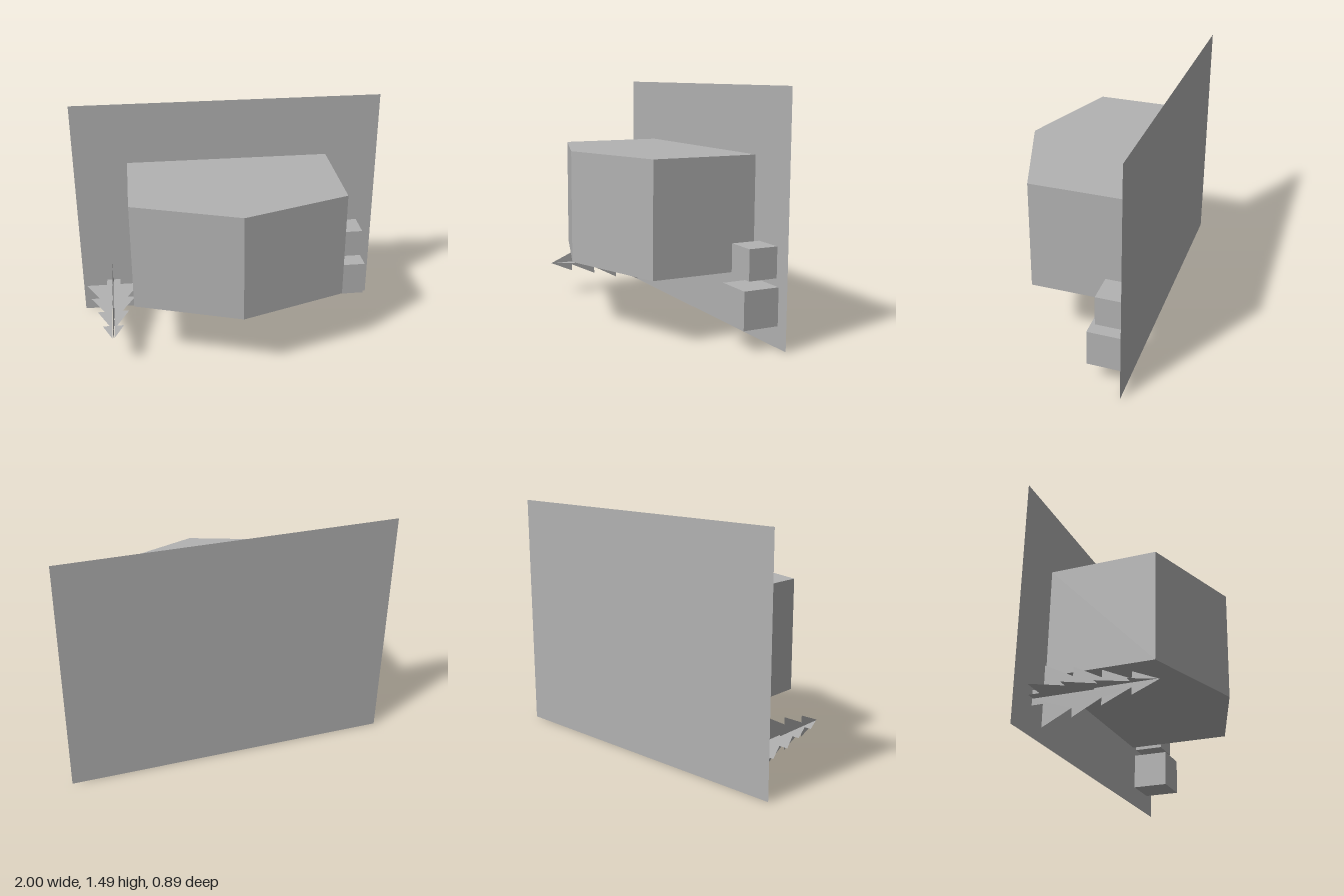
import * as THREE from 'three';

const BACK = -0.444;

export function createModel() {
  const group = new THREE.Group();
  const grey = new THREE.MeshStandardMaterial({ color: 0xb2b2b2, side: THREE.DoubleSide });
  grey.name = 'plain grey';

  const add = (name, geometry, x = 0, y = 0, z = 0) => {
    const mesh = new THREE.Mesh(geometry, grey);
    mesh.name = name;
    mesh.position.set(x, y, z);
    group.add(mesh);
    return mesh;
  };

  // Flat back wall
  add('backWall', new THREE.PlaneGeometry(2, 1.485), 0, 0.7425, BACK);

  // Large block with a pointed front; its plan is drawn with shape y = -z
  const plan = new THREE.Shape([
    [-0.655, BACK], [-0.655, 0.218], [0, 0.444], [0.655, 0.218], [0.655, BACK],
  ].map(([x, z]) => new THREE.Vector2(x, -z)));
  const block = new THREE.ExtrudeGeometry(plan, { depth: 0.682, bevelEnabled: false });
  block.rotateX(-Math.PI / 2);
  add('pointedBlock', block, 0, 0.404);

  // Two cubes standing out from the wall
  const cube = (name, size, x, y) =>
    add(name, new THREE.BoxGeometry(size, size, size), x, y, BACK + size / 2);
  cube('upperCube', 0.184, 0.803, 0.496);
  cube('lowerCube', 0.227, 0.803, 0.243);

  // Half outline of the tree: [half width, distance along the axis], trunk to tip
  const outline = [
    [0.045, BACK], [0.045, -0.376], [0.181, -0.376], [0.092, -0.202], [0.147, -0.202],
    [0.058, -0.031], [0.102, -0.031], [0.024, 0.14], [0.067, 0.14],
  ];
  const TIP = 0.297, SLOT = 0.0055, SLOT_END = -0.074;
  const mirrored = outline.map(([w, a]) => [-w, a]).reverse();
  const toShape = (pts) => new THREE.Shape(pts.map(([x, y]) => new THREE.Vector2(x, y)));

  // Lying panel, slotted from the tip
  const cutTip = TIP - SLOT * (TIP - 0.14) / 0.067;
  const lying = new THREE.ShapeGeometry(toShape([
    ...outline, [SLOT, cutTip], [SLOT, SLOT_END], [-SLOT, SLOT_END], [-SLOT, cutTip], ...mirrored,
  ]));
  lying.rotateX(Math.PI / 2);

  // Upright panel, slotted from the trunk
  const upright = new THREE.ShapeGeometry(toShape([
    ...outline, [0, TIP], ...mirrored, [-SLOT, BACK], [-SLOT, SLOT_END], [SLOT, SLOT_END], [SLOT, BACK],
  ]));
  upright.rotateX(Math.PI / 2).rotateZ(Math.PI / 2);

  add('treeLyingPanel', lying, -0.795, 0.221);
  add('treeUprightPanel', upright, -0.795, 0.221);

  return group;
}
